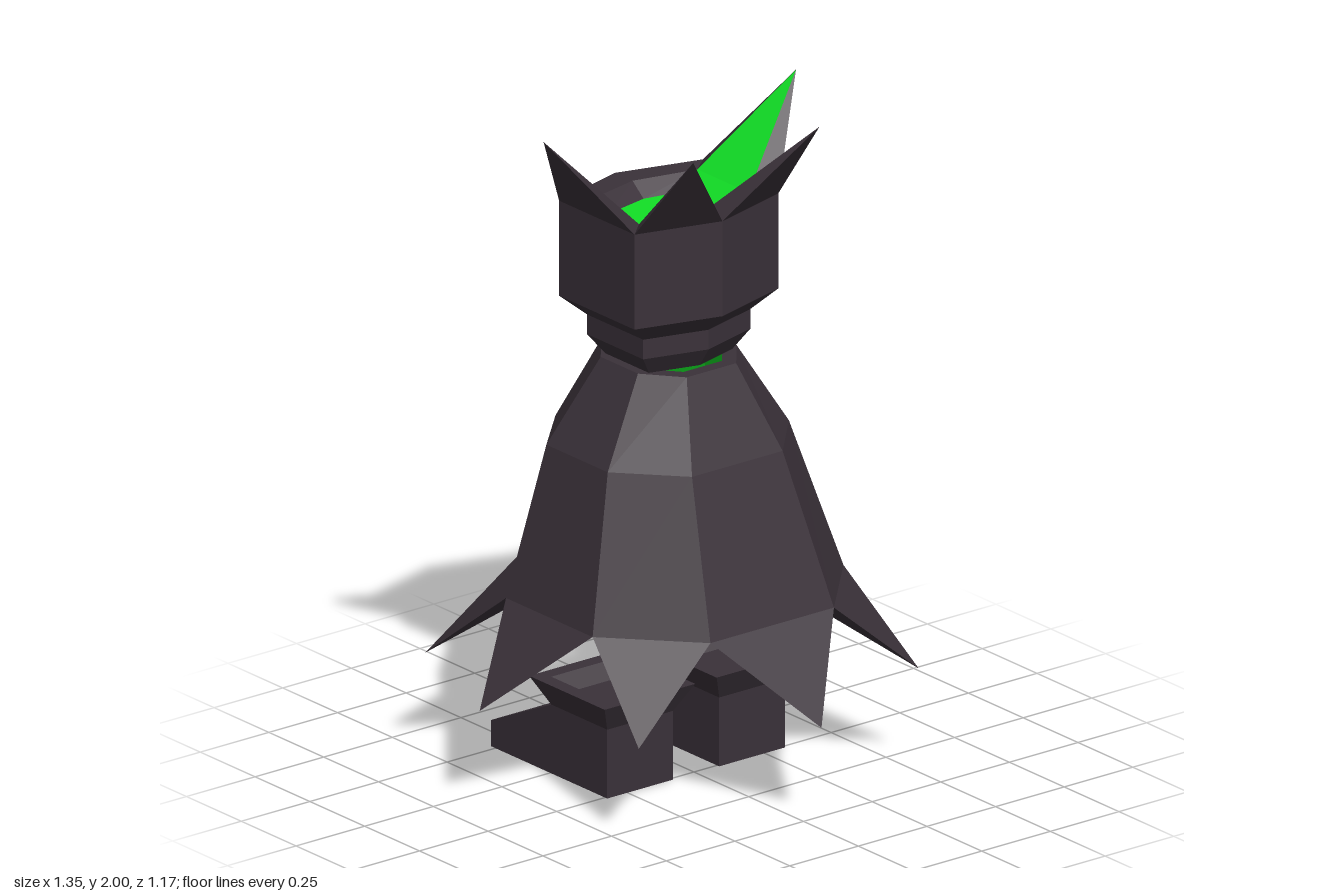
import * as THREE from 'three';

const dark = new THREE.MeshStandardMaterial({ color: 0x3a3139, side: THREE.DoubleSide });
dark.name = 'dark cloth';
const green = new THREE.MeshStandardMaterial({ color: 0x12e026, side: THREE.DoubleSide });
green.name = 'bright green lining';

// Flat-faced mesh from a list of polygons, each fanned from its first corner
function build(name, polys, material) {
  const pos = [];
  for (const p of polys)
    for (let i = 1; i < p.length - 1; i++) pos.push(...p[0], ...p[i], ...p[i + 1]);
  const geo = new THREE.BufferGeometry();
  geo.setAttribute('position', new THREE.Float32BufferAttribute(pos, 3));
  geo.computeVertexNormals();
  const mesh = new THREE.Mesh(geo, material);
  mesh.name = name;
  return mesh;
}

// Quads between two rings of points
function strip(a, b, closed = true) {
  const quads = [];
  for (let i = 0; i < a.length - (closed ? 0 : 1); i++) {
    const j = (i + 1) % a.length;
    quads.push([a[i], a[j], b[j], b[i]]);
  }
  return quads;
}

// Six-sided ring: front z, side front z, side back z, back z, half width, height
const hex = (f, sf, sb, b, w, y) =>
  [[0, y, f], [w, y, sf], [w, y, sb], [0, y, b], [-w, y, sb], [-w, y, sf]];

function createHead() {
  const head = new THREE.Group();
  head.name = 'head';
  const zc = -0.115;
  const ring = (s, y) => hex(zc + 0.245 * s, zc + 0.172 * s, zc - 0.172 * s, zc - 0.245 * s, 0.262 * s, y);

  // Neck, collar and helmet walls
  const rings = [[0.58, 1.25], [0.745, 1.31], [0.745, 1.37], [1, 1.43], [1, 1.72]].map(([s, y]) => ring(s, y));
  const shell = [[...rings[0]].reverse()];
  for (let i = 0; i < 4; i++) shell.push(...strip(rings[i], rings[i + 1]));
  head.add(build('helmet', shell, dark));

  // Crown: spikes on four sides, plain rim on the other two
  const outer = rings[4];
  const inner = hex(0.04, 0, -0.235, -0.28, 0.2, 1.72);
  const floor = hex(-0.005, -0.035, -0.2, -0.23, 0.15, 1.68);
  const tips = [[0.23, 2, 0.285], [0.46, 2, -0.11], null, null, [-0.46, 2, -0.11], [-0.23, 2, 0.285]];
  const spikes = [], rim = [], lining = [floor];
  tips.forEach((tip, i) => {
    const j = (i + 1) % 6;
    const wall = [inner[i], inner[j], floor[j], floor[i]];
    if (tip) {
      spikes.push([outer[i], outer[j], tip], [outer[j], inner[j], tip], [inner[i], outer[i], tip]);
      lining.push(wall, [inner[j], inner[i], tip]);
    } else {
      rim.push([outer[i], outer[j], inner[j], inner[i]], wall);
    }
  });
  head.add(build('crownSpikes', spikes, dark));
  head.add(build('crownRim', rim, dark));
  head.add(build('crownLining', lining, green));
  return head;
}

function createCape() {
  const cape = new THREE.Group();
  cape.name = 'cape';
  // Eight columns running round from one edge of the slit to the other
  const row = (y, half) => [
    ...[...half].reverse().map(([x, z]) => [-x, y, z]),
    ...half.map(([x, z]) => [x, y, z]),
  ];
  const inset = (pts, s) => pts.map(([x, y, z]) => [x * s, y, -0.1 + (z + 0.1) * s]);

  const top = row(1.25, [[0.09, 0.08], [0.18, -0.03], [0.18, -0.2], [0.09, -0.31]]);
  const mid = row(1.0, [[0.165, 0.198], [0.33, 0.02], [0.33, -0.26], [0.165, -0.425]]);
  const hem = row(0.555, [[0.225, 0.357], [0.457, 0.11], [0.457, -0.285], [0.22, -0.527]]);
  const tips = row(0.31, [[0.51, 0.387], [0.677, -0.13], [0.51, -0.587]]);
  tips.splice(3, 0, [0, 0.31, 0.582]);
  const topIn = inset(top, 0.78), midIn = inset(mid, 0.83), hemIn = inset(hem, 0.85);

  const outside = [...strip(hem, mid, false), ...strip(mid, top, false)];
  const inside = [...strip(midIn, hemIn, false), ...strip(topIn, midIn, false)];
  const edges = strip(top, topIn, false);
  // Pointed hem
  tips.forEach((tip, i) => {
    outside.push([hem[i], tip, hem[i + 1]]);
    inside.push([hemIn[i + 1], tip, hemIn[i]]);
    edges.push([tip, hem[i], hemIn[i]], [hem[i + 1], tip, hemIn[i + 1]]);
  });
  // Slit edges
  edges.push(
    [hem[0], mid[0], midIn[0], hemIn[0]], [mid[0], top[0], topIn[0], midIn[0]],
    [mid[7], hem[7], hemIn[7], midIn[7]], [top[7], mid[7], midIn[7], topIn[7]]);

  cape.add(build('capeOutside', outside, dark));
  cape.add(build('capeLining', inside, green));
  cape.add(build('capeEdges', edges, dark));
  return cape;
}

function createBoot(side) {
  const boot = new THREE.Group();
  boot.name = side > 0 ? 'leftBoot' : 'rightBoot';
  // Foot with sloping toe, extruded across its width
  const shape = new THREE.Shape([[-0.01, 0], [0.52, 0], [0.52, 0.08], [0.245, 0.21], [-0.01, 0.21]]
    .map(([s, y]) => new THREE.Vector2(s, y)));
  const geo = new THREE.ExtrudeGeometry(shape, { depth: 0.24, bevelEnabled: false });
  geo.rotateY(Math.PI / 2).translate(-0.12, 0, 0);
  const foot = new THREE.Mesh(geo, dark);
  foot.name = 'foot';
  boot.add(foot);

  // Flared cuff with a shallow recess
  const rect = (g, y) => [
    [-0.12 - g, y, 0.01 + g], [0.12 + g, y, 0.01 + g],
    [0.12 + g, y, -0.245 - g], [-0.12 - g, y, -0.245 - g]];
  const r = [rect(0, 0.21), rect(0.045, 0.295), rect(0, 0.295), rect(-0.035, 0.25)];
  boot.add(build('cuff', [...strip(r[0], r[1]), ...strip(r[1], r[2]), ...strip(r[2], r[3]), r[3]], dark));
  boot.position.x = side * 0.204;
  return boot;
}

export function createModel() {
  const model = new THREE.Group();
  model.name = 'cloakedFigure';
  model.add(createHead(), createCape(), createBoot(1), createBoot(-1));
  return model;
}
